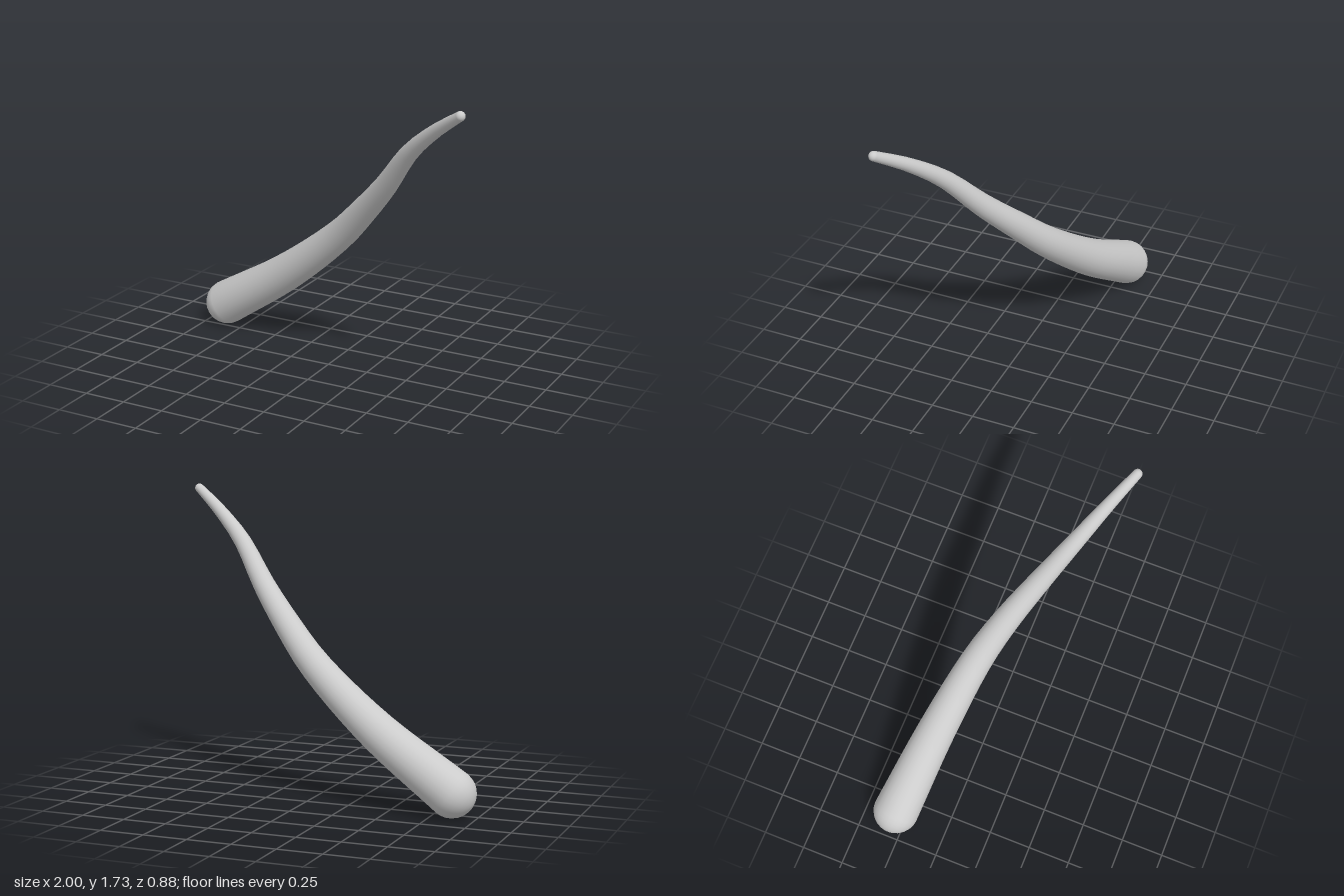
import * as THREE from 'three';

// Tapered, round-ended skin swept along a curve, closed by a pole at each end
function taperedSweep(curve, r0, r1, steps, sides, capRings) {
  const { tangents, normals, binormals } = curve.computeFrenetFrames(steps, false);
  const positions = [], indices = [];
  const rings = [];
  // start cap, body, end cap: frame index, offset along the tangent, radius
  for (let i = 1; i < capRings; i++) {
    const a = (i / capRings) * Math.PI / 2;
    rings.push([0, -r0 * Math.cos(a), r0 * Math.sin(a)]);
  }
  for (let i = 0; i <= steps; i++) rings.push([i, 0, r0 + (r1 - r0) * i / steps]);
  for (let i = capRings - 1; i > 0; i--) {
    const a = (i / capRings) * Math.PI / 2;
    rings.push([steps, r1 * Math.cos(a), r1 * Math.sin(a)]);
  }
  const p = new THREE.Vector3();
  for (const [f, offset, r] of rings) {
    for (let j = 0; j < sides; j++) {
      const a = (j / sides) * Math.PI * 2;
      curve.getPointAt(f / steps, p)
        .addScaledVector(tangents[f], offset)
        .addScaledVector(normals[f], r * Math.cos(a))
        .addScaledVector(binormals[f], r * Math.sin(a));
      positions.push(p.x, p.y, p.z);
    }
  }
  const last = (rings.length - 1) * sides;
  const startPole = rings.length * sides, endPole = startPole + 1;
  curve.getPointAt(0, p).addScaledVector(tangents[0], -r0);
  positions.push(p.x, p.y, p.z);
  curve.getPointAt(1, p).addScaledVector(tangents[steps], r1);
  positions.push(p.x, p.y, p.z);

  for (let j = 0; j < sides; j++) {
    const k = (j + 1) % sides;
    indices.push(startPole, k, j, endPole, last + j, last + k);
    for (let i = 0; i < rings.length - 1; i++) {
      const a = i * sides + j, b = i * sides + k;
      indices.push(a, b, a + sides, b, b + sides, a + sides);
    }
  }
  const geometry = new THREE.BufferGeometry();
  geometry.setAttribute('position', new THREE.Float32BufferAttribute(positions, 3));
  geometry.setIndex(indices);
  geometry.computeVertexNormals();
  return geometry;
}

export function createModel() {
  const group = new THREE.Group();
  group.name = 'taperedHorn';

  // Centre line, from the thick foot to the thin tip
  const path = new THREE.CatmullRomCurve3([
    [-0.865, 0.135, -0.305],
    [-0.4, 0.435, -0.228],
    [0, 0.755, -0.125],
    [0.2, 0.955, -0.035],
    [0.4, 1.17, 0.08],
    [0.6, 1.415, 0.21],
    [0.8, 1.585, 0.32],
    [0.973, 1.703, 0.413],
  ].map((c) => new THREE.Vector3(...c)));

  const horn = new THREE.Mesh(
    taperedSweep(path, 0.135, 0.027, 24, 24, 7),
    new THREE.MeshStandardMaterial({ color: 0xcccccc })
  );
  horn.name = 'horn';
  group.add(horn);
  return group;
}
